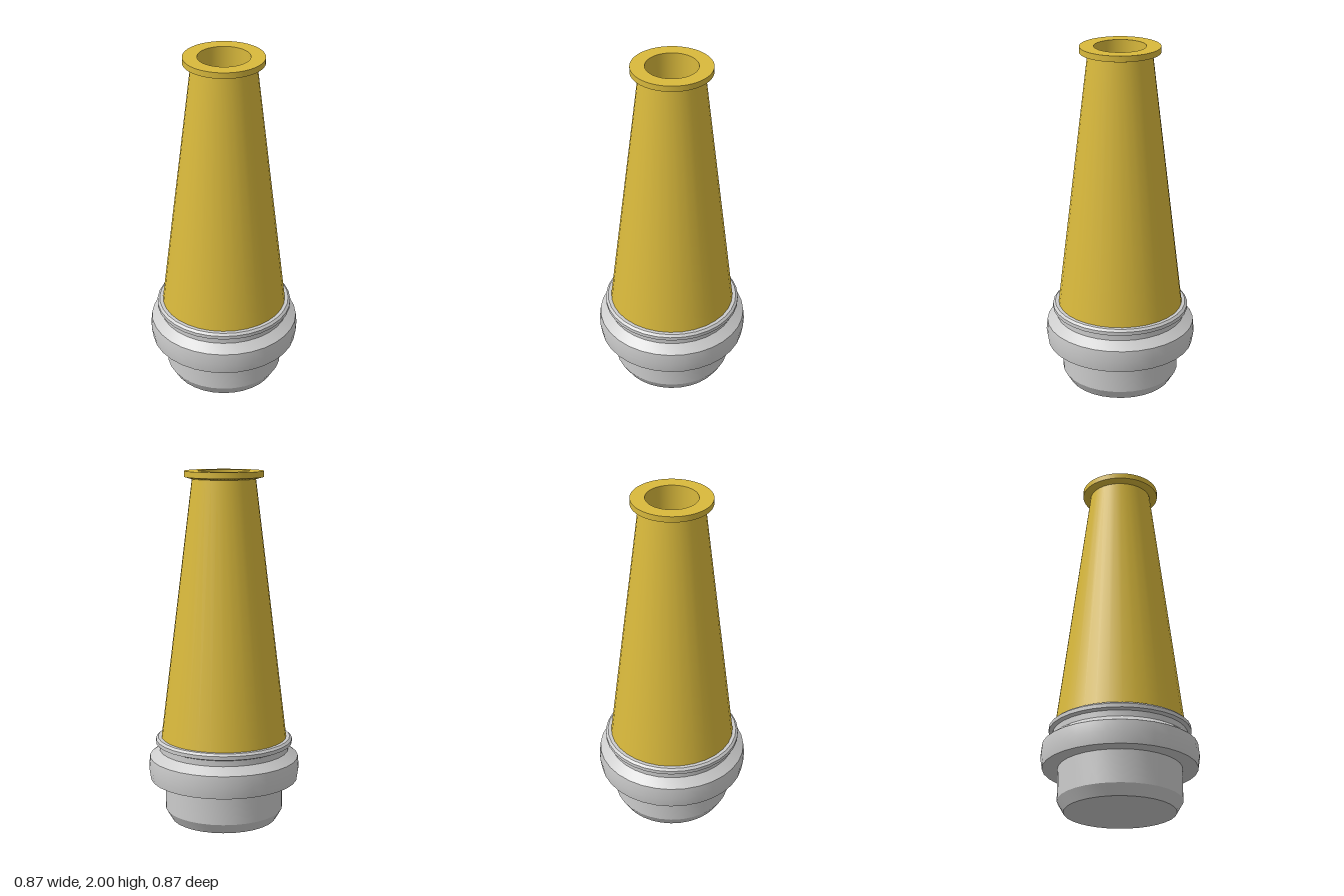
import * as THREE from 'three';
import { toCreasedNormals } from 'three/addons/utils/BufferGeometryUtils.js';

const grey = new THREE.MeshStandardMaterial({ color: 0xcccccc });
const brass = new THREE.MeshStandardMaterial({ color: 0xd9b93c });

// Revolve a [radius, height] profile, keeping hard edges between bands
function turned(name, profile, sides, material) {
  const points = profile.map(([r, y]) => new THREE.Vector2(r, y));
  const geometry = toCreasedNormals(new THREE.LatheGeometry(points, sides), 0.35);
  const mesh = new THREE.Mesh(geometry, material);
  mesh.name = name;
  return mesh;
}

export function createModel() {
  const model = new THREE.Group();
  model.name = 'hoseNozzle';

  // Plug with a chamfered foot
  model.add(turned('plug', [[0, 0], [0.305, 0], [0.34, 0.06], [0.34, 0.24]], 32, grey));

  // Coupling ring, neck and upper lip
  model.add(turned('couplingRing', [
    [0.34, 0.24], [0.425, 0.24], [0.435, 0.305], [0.428, 0.37], [0.372, 0.41],
  ], 32, grey));
  model.add(turned('collar', [
    [0.372, 0.41], [0.372, 0.443], [0.393, 0.452], [0.393, 0.473], [0.38, 0.485], [0.34, 0.485],
  ], 32, grey));

  // Tapered barrel
  model.add(turned('barrel', [[0.36, 0.485], [0.178, 1.957]], 32, brass));

  // Mouth flange with a slight bevel underneath
  model.add(turned('mouthFlange', [
    [0.17, 1.957], [0.185, 1.957], [0.222, 1.967], [0.222, 2], [0.143, 2],
  ], 64, brass));

  // Straight bore running down to a flat floor
  model.add(turned('bore', [[0.143, 2], [0.143, 0.5], [0, 0.5]], 64, brass));

  return model;
}
